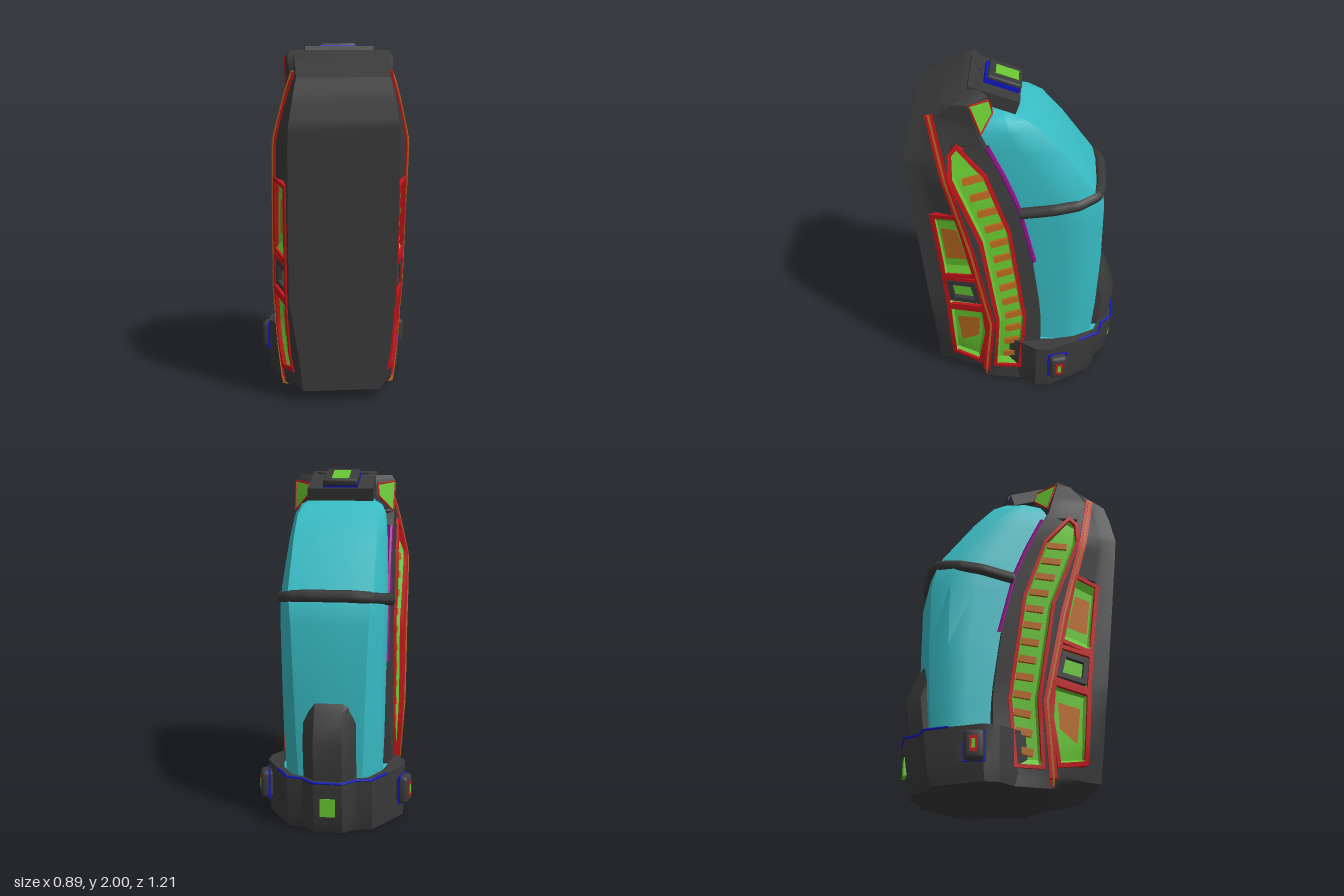
import * as THREE from 'three';
import { toCreasedNormals } from 'three/addons/utils/BufferGeometryUtils.js';
import { RoundedBoxGeometry } from 'three/addons/geometries/RoundedBoxGeometry.js';

const V = (x, y, z) => new THREE.Vector3(x, y, z);
const { lerp, clamp } = THREE.MathUtils;
const DARK = 0x3a3a3a, RED = 0xc01418, GREEN = 0x66c430, ORANGE = 0xb8691f,
  BLUE = 0x1018c0, CYAN = 0x38bcc4, PURPLE = 0x8a0f86;

// Shell levels: y, then x,z of front edge, front corner, ridge, rear edge, inner rear
const LEVELS = [
  [0, .18, .20, .22, .19, .32, .17, .34, -.12, .22, -.13],
  [.07, .22, .47, .24, .40, .325, .18, .335, -.13, .22, -.14],
  [.25, .24, .485, .28, .40, .345, .17, .33, -.15, .22, -.16],
  [.47, .275, .497, .295, .42, .362, .14, .31, -.15, .22, -.16],
  [.6, .295, .507, .30, .42, .37, .16, .30, -.14, .22, -.15],
  [.9, .30, .535, .305, .44, .37, .22, .30, -.10, .22, -.11],
  [1.28, .30, .572, .305, .485, .37, .31, .30, -.01, .22, -.02],
  [1.48, .30, .592, .305, .51, .37, .36, .295, .07, .22, .06],
  [1.58, .295, .60, .305, .52, .345, .38, .295, .11, .22, .10],
  [1.73, .27, .575, .28, .49, .305, .42, .297, .19, .23, .18],
  [1.83, .25, .55, .26, .47, .275, .44, .298, .217, .2, .13],
  [1.93, .25, .37, .265, .35, .29, .33, .30, .245, .19, .15],
  [1.965, .24, .28, .25, .275, .275, .265, .28, .245, .18, .18],
];
// Front and rear edges of the two sunk channels in each flank, as [z, y] from the top down
const STRIP = [[[.35, 1.64], [.345, 1.5], [.19, 1.08], [.1, .49], [.12, .11]], [[.31, 1.69], [.16, 1.51], [.03, 1.13], [-.06, .49], [-.03, .11]]];
const PANEL = [[[.465, 1.25], [.415, .8], [.395, .57], [.375, .15]], [[.32, 1.25], [.23, .845], [.18, .6], [.165, .39], [.21, .15]]];

function levelAt(y) {
  let i = 0;
  while (i < LEVELS.length - 2 && y > LEVELS[i + 1][0]) i++;
  const a = LEVELS[i], b = LEVELS[i + 1], t = clamp((y - a[0]) / (b[0] - a[0]), 0, 1);
  return a.map((v, k) => lerp(v, b[k], t));
}
// x of the shell flank at a given height and depth
function sideX(y, z) {
  const l = levelAt(y), k = z > l[6] ? 3 : 5;
  return lerp(l[k], l[k + 2], clamp((l[k + 1] - z) / (l[k + 1] - l[k + 3]), 0, 1));
}
function zOn(edge, y) {
  const k = edge.findIndex((p, j) => j && y >= p[1]), i = k < 0 ? edge.length - 1 : k;
  return lerp(edge[i - 1][0], edge[i][0], (y - edge[i - 1][1]) / (edge[i][1] - edge[i - 1][1]));
}
function geo(verts, idx) {
  const g = new THREE.BufferGeometry();
  g.setAttribute('position', new THREE.Float32BufferAttribute(verts.flatMap(v => [v.x, v.y, v.z]), 3));
  g.setIndex(idx);
  return g;
}
// Skin closed rings (counter-clockwise from above, bottom to top) and cap both ends
function loft(rings) {
  const n = rings[0].length, verts = rings.flat(), idx = [];
  for (let r = 0; r < rings.length - 1; r++)
    for (let i = 0; i < n; i++) {
      const a = r * n + i, b = r * n + (i + 1) % n;
      idx.push(a, b, b + n, a, b + n, a + n);
    }
  for (const r of [0, rings.length - 1]) {
    const c = verts.length;
    verts.push(rings[r].reduce((s, v) => s.add(v), V(0, 0, 0)).divideScalar(n));
    for (let i = 0; i < n; i++) {
      const a = r * n + i, b = r * n + (i + 1) % n;
      idx.push(...(r ? [c, a, b] : [c, b, a]));
    }
  }
  return geo(verts, idx);
}
// Full ring from a right-hand half section of [x, z], front to back
const ring = (y, half) => [...half.map(([x, z]) => V(x, y, z)), ...half.slice().reverse().map(([x, z]) => V(-x, y, z))];

// Shell section with the channels sunk into both flanks
function shellRing(y) {
  const l = levelAt(y);
  const channel = (edges, lo, hi, k) => {
    const on = y >= lo && y <= hi, z0 = l[k + 1], z1 = l[k + 3];
    const f = on ? clamp(zOn(edges[0], y), z1, z0) : lerp(z0, z1, .2);
    const b = on ? clamp(zOn(edges[1], y), z1, z0) : lerp(z0, z1, .8);
    return [0, .125, .875, 1].map((t, i) => {
      const z = lerp(f, b, t);
      return [sideX(y, z) - (on && i % 3 ? .045 : 0), z];
    });
  };
  const pt = k => [l[k], l[k + 1]];
  return ring(y, [pt(1), pt(3), ...channel(PANEL, .15, 1.25, 3), pt(5), ...channel(STRIP, .11, 1.66, 5), pt(7), pt(9)]);
}
// Surface along the flank between two edges of [z, y] points; the inside may sit deeper than the border
function patch(front, back, border, inside) {
  const verts = [], idx = [], C = 8, R = 8, P = (front.length - 1) * R;
  for (let r = 0; r <= P; r++) {
    const i = Math.min(Math.floor(r / R), front.length - 2), t = r / R - i;
    for (let c = 0; c <= C; c++) {
      const [z, y] = [0, 1].map(k => lerp(lerp(front[i][k], front[i + 1][k], t), lerp(back[i][k], back[i + 1][k], t), c / C));
      verts.push(V(sideX(y, z) + (r % P && c % C ? inside : border), y, z));
      if (r < P && c < C) {
        const a = r * (C + 1) + c, b = a + C + 1;
        idx.push(a, b, b + 1, a, b + 1, a + 1);
      }
    }
  }
  return geo(verts, idx);
}
// Raised band along a [z, y] path on the flank, from depth lo to height hi
function band(path, w, lo, hi, closed) {
  const pts = [], n = path.length, segs = closed ? n : n - 1;
  for (let i = 0; i < segs; i++) {
    const a = new THREE.Vector2(...path[i]), b = new THREE.Vector2(...path[(i + 1) % n]);
    const m = Math.ceil(a.distanceTo(b) / .05);
    for (let k = 0; k < m; k++) pts.push(a.clone().lerp(b, k / m));
  }
  if (!closed) pts.push(new THREE.Vector2(...path[n - 1]));
  const verts = [], idx = [], N = pts.length;
  for (let i = 0; i < N; i++) {
    const p = pts[i], prev = pts[closed ? (i + N - 1) % N : Math.max(i - 1, 0)], next = pts[closed ? (i + 1) % N : Math.min(i + 1, N - 1)];
    const t0 = p.clone().sub(prev).normalize(), t1 = next.clone().sub(p).normalize();
    const t = t0.clone().add(t1).normalize(), ref = t1.lengthSq() ? t1 : t0;
    const s = w / 2 / Math.max(t.dot(ref), .5);
    for (const [d, o] of [[-s, lo], [-s, hi], [s, hi], [s, lo]]) {
      const z = p.x - t.y * d, y = p.y + t.x * d;
      verts.push(V(sideX(y, z) + o, y, z));
    }
    if (closed || i < N - 1)
      for (let k = 0; k < 4; k++) {
        const a = i * 4 + k, b = i * 4 + (k + 1) % 4, c = ((i + 1) % N) * 4;
        idx.push(a, b, c + (k + 1) % 4, a, c + (k + 1) % 4, c + k);
      }
  }
  return geo(verts, idx);
}
function tube(pts, r, closed = false) {
  const path = new THREE.CurvePath();
  for (let i = 0; i < pts.length - (closed ? 0 : 1); i++) path.add(new THREE.LineCurve3(pts[i], pts[(i + 1) % pts.length]));
  return new THREE.TubeGeometry(path, pts.length * 8, r, 8, closed);
}
const box = (w, h, d, x, y, z) => new THREE.BoxGeometry(w, h, d).translate(x, y, z);

export function createModel() {
  const model = new THREE.Group();
  model.name = 'tankPack';
  const add = (name, g, color, parent = model, crease = .5) => {
    const mesh = new THREE.Mesh(toCreasedNormals(g, crease), new THREE.MeshStandardMaterial({ color, side: THREE.DoubleSide }));
    mesh.name = name;
    parent.add(mesh);
  };
  // Adds a part on the left and its mirror on the right
  const addPair = (name, g, color) => {
    const m = g.index ? g.toNonIndexed() : g.clone(), p = m.attributes.position;
    for (let i = 0; i < p.count; i += 3)
      [0, 2, 1].map(k => V(-p.getX(i + k), p.getY(i + k), p.getZ(i + k))).forEach((v, k) => p.setXYZ(i + k, v.x, v.y, v.z));
    add(name + 'Left', g, color);
    add(name + 'Right', m, color);
  };

  // Front shell
  const ys = [.1, .11, .14, .15, 1.25, 1.27, 1.66, 1.69];
  LEVELS.forEach(([y], i) => {
    for (let k = 0; k < 4; k++) if (!k || i < LEVELS.length - 1) ys.push(k ? lerp(y, LEVELS[i + 1][0], k / 4) : y);
  });
  add('shell', loft(ys.sort((a, b) => a - b).map(shellRing)), DARK);

  // Tank: y, back z, back half width, half width, front z
  const tank = [[.27, -.475, .18, .28, -.1], [.5, -.495, .19, .29, -.1], [.8, -.508, .2, .295, -.07], [1.18, -.508, .215, .3, 0],
    [1.28, -.49, .225, .3, .02], [1.37, -.45, .235, .295, .06], [1.62, -.265, .235, .28, .17], [1.75, -.15, .23, .265, .2], [1.8, -.07, .21, .24, .17], [1.83, .02, .17, .19, .1]];
  add('tank', loft(tank.map(([y, zb, xb, xw, zf]) => ring(y, [[xw - .02, zf], [xw, lerp(zf, zb, .5)], [lerp(xb, xw, .85), zb + .11], [xb, zb + .012], [xb * .5, zb]]))), CYAN, model, .6);
  const belt = [[.295, 1.25, -.03], [.305, 1.285, -.22], [.285, 1.305, -.35], [.22, 1.325, -.455], [.13, 1.335, -.48]];
  add('tankBelt', tube([...belt.map(p => V(...p)), ...belt.slice().reverse().map(([x, y, z]) => V(-x, y, z))], .034), DARK, model, 1);

  // Base cup: outer and inner outlines of the wall
  const cup = [[.28, .1], [.345, -.04], [.4, -.13], [.40, -.22], [.31, -.39], [.24, -.51], [.15, -.53], [.08, -.598]];
  const inner = [[.26, .1], [.30, -.04], [.31, -.13], [.31, -.22], [.28, -.36], [.215, -.48], [.14, -.51], [.08, -.56]];
  const cupRing = (y, sx, sz) => ring(y, cup.map(([x, z]) => [x * sx, (z + .1) * sz - .1]));
  add('base', loft([cupRing(0, .985, .88), cupRing(.07, 1, .94), cupRing(.24, 1, .99), cupRing(.31, 1, 1), ring(.315, inner), ring(.28, inner)]), DARK);
  add('baseFloor', loft([ring(.26, inner), ring(.29, inner)]), CYAN);
  const rim = cup.slice(4).map(([x, z]) => V(x, .31, z));
  add('rimTrim', tube([...rim, ...rim.slice().reverse().map(v => V(-v.x, v.y, v.z))], .007), BLUE);

  // Back plate rising from the base
  add('backPlate', loft([[.3, -.57], [.53, -.597], [.7, -.53], [.74, -.505]].map(([y, z]) => ring(y, [[.15, -.46], [.147, Math.min(z + .07, -.47)], [.08, z]]))), DARK);
  add('backLight', box(.085, .105, .02, 0, .165, -.583), GREEN);

  // Side knobs on the base
  const turned = g => g.rotateY(.25).translate(.405, .185, -.265);
  addPair('knob', turned(new RoundedBoxGeometry(.07, .165, .11, 2, .025)), DARK);
  addPair('knobTrim', turned(box(.012, .165, .118, -.012, 0, 0)), BLUE);
  addPair('knobMark', turned(box(.006, .085, .045, .034, 0, 0)), RED);
  addPair('knobLight', turned(box(.006, .05, .02, .036, 0, 0)), GREEN);

  // Louvred strips
  const [sf, sb] = STRIP;
  addPair('louvrePanel', patch(sf, sb, .004, -.028), GREEN);
  addPair('louvreTrim', band([...sf, ...sb.slice().reverse()], .02, -.02, .011, true), RED);
  for (let k = 0; k < 13; k++) {
    const y = .2 + k * .107, f = zOn(sf, y), b = zOn(sb, y);
    addPair('louvre' + (k + 1), band([[lerp(f, b, .3), y - .01], [lerp(f, b, .88), y + .008]], .04, -.04, -.012, false), ORANGE);
  }

  // Ridge rails and flank panels
  const rail = [[.455, 1.86], [.375, 1.5], [.25, 1.02], [.14, .47], [.18, .01]];
  addPair('rail', band(rail, .044, -.02, .01, false), RED);
  addPair('railInlay', band(rail, .012, -.02, .013, false), ORANGE);
  const panels = {
    upperPanel: [[[.465, 1.235], [.415, .81]], [[.32, 1.265], [.23, .845]]],
    middlePanel: [[[.415, .79], [.395, .58]], [[.22, .81], [.18, .61]]],
    lowerPanel: [[[.395, .56], [.387, .39], [.375, .165]], [[.18, .585], [.165, .39], [.21, .13]]],
  };
  for (const [name, [front, rear]] of Object.entries(panels)) {
    addPair(name, patch(front, rear, .004, -.028), GREEN);
    addPair(name + 'Trim', band([...front, ...rear.slice().reverse()], .024, -.05, .01, true), RED);
  }
  addPair('upperInset', patch([[.42, 1.14], [.395, .925]], [[.325, 1.15], [.275, .945]], -.022, -.022), ORANGE);
  addPair('lowerInset', patch([[.345, .47], [.325, .27]], [[.21, .49], [.22, .34]], -.022, -.022), ORANGE);
  addPair('middleFrame', band([[.385, .755], [.245, .77], [.215, .645], [.37, .63]], .03, -.04, .002, true), DARK);

  // Shoulder windows and tank gasket
  const win = [V(.300, 1.93, .237), V(.205, 1.915, .138), V(.213, 1.845, .12), V(.296, 1.755, .18)];
  addPair('shoulderWindow', geo(win, [0, 2, 1, 0, 3, 2]), GREEN);
  addPair('shoulderTrim', tube(win, .005, true), RED);
  addPair('gasket', tube([[1.67, .16], [1.48, .07], [1.28, -.01], [.9, -.1]].map(([y, z]) => V(.28, y, z - .008)), .017), PURPLE);

  // Tilted top cap
  const cap = new THREE.Group();
  cap.name = 'topCap';
  cap.position.set(0, 1.94, .07);
  cap.rotation.x = -.33;
  model.add(cap);
  add('capPlate', box(.38, .075, .29, 0, -.05, .04), DARK, cap);
  add('capTrim', box(.2, .03, .2, 0, .003, .006), BLUE, cap);
  add('capBlock', new RoundedBoxGeometry(.2, .04, .19, 2, .01).translate(0, .018, -.003), DARK, cap);
  add('capLight', box(.1, .006, .13, 0, .037, -.01), GREEN, cap);
  const shape = new THREE.Shape([[.02, .19], [.14, .19], [.19, .25], [.02, .25]].map(p => new THREE.Vector2(...p)));
  const plate = () => new THREE.ExtrudeGeometry(shape, { depth: .03, bevelEnabled: false }).rotateX(Math.PI / 2);
  addPair('topVentTrim', plate().translate(0, 1.976, .003), BLUE);
  addPair('topVent', plate().translate(0, 1.981, -.003), DARK);
  return model;
}
